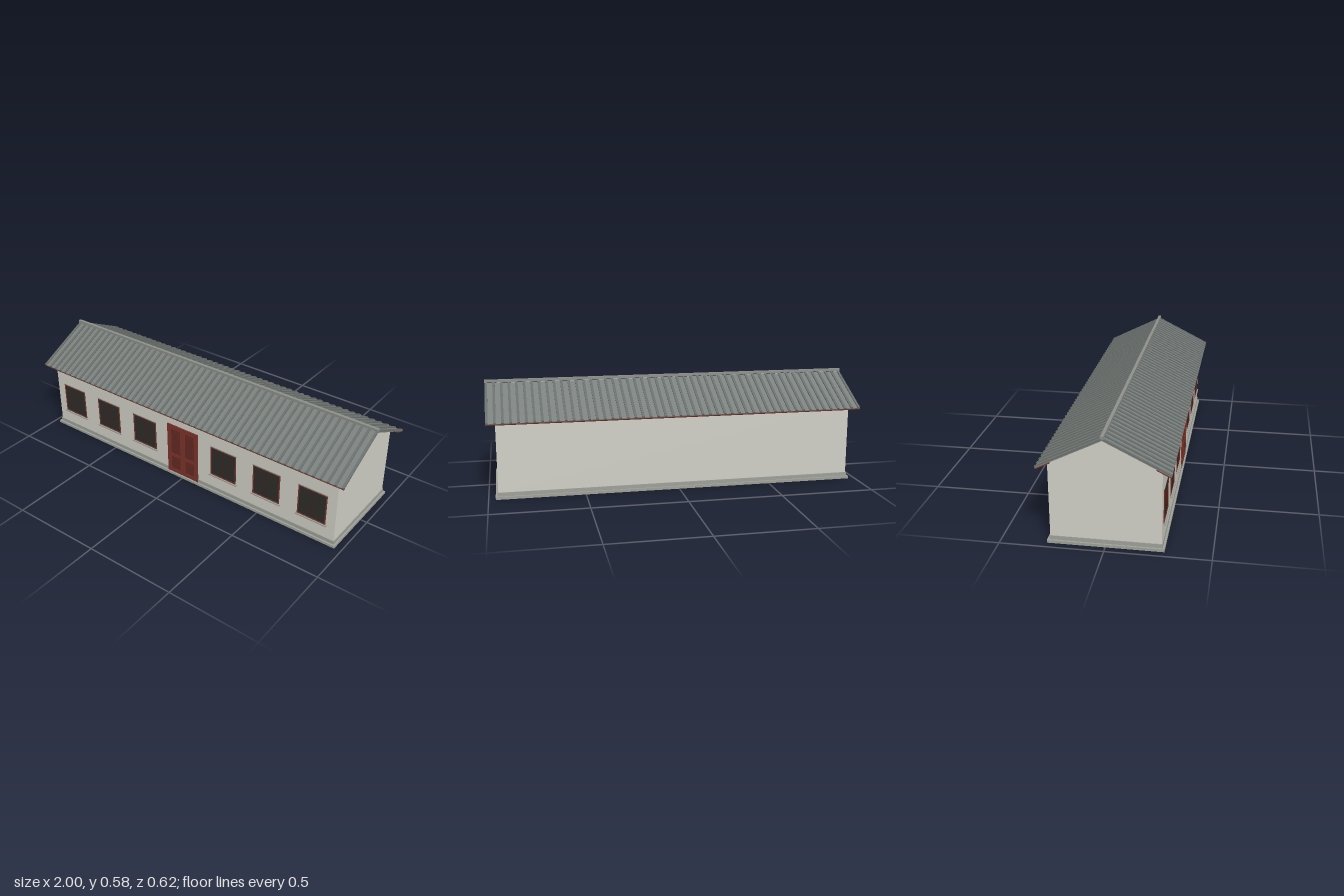
import * as THREE from 'three';

const mat = (color) => new THREE.MeshStandardMaterial({ color });
const M = {
  wall: mat(0xd0cfc6), stone: mat(0x9da098), roof: mat(0x7a807d), rib: mat(0x686e6b),
  wood: mat(0x7a3329), panel: mat(0x642a23), bars: mat(0x4a1d19), glass: mat(0x26302d),
  metal: mat(0x8c8f8a),
};

// Box given by its centre in x and its extents in y and z
function box(parent, name, material, x, w, y0, y1, z0, z1) {
  const mesh = new THREE.Mesh(new THREE.BoxGeometry(w, y1 - y0, z1 - z0), material);
  mesh.position.set(x, (y0 + y1) / 2, (z0 + z1) / 2);
  mesh.name = name;
  parent.add(mesh);
  return mesh;
}

function group(parent, name) {
  const g = new THREE.Group();
  g.name = name;
  parent.add(g);
  return g;
}

const FRONT = 0.264, RIDGE = 0.556, PITCH = Math.atan(0.5);

// Gabled body extruded along x
function addWalls(parent) {
  const eave = RIDGE - FRONT * 0.5;
  const s = new THREE.Shape([
    new THREE.Vector2(-FRONT, 0.034), new THREE.Vector2(FRONT, 0.034),
    new THREE.Vector2(FRONT, eave), new THREE.Vector2(0, RIDGE), new THREE.Vector2(-FRONT, eave),
  ]);
  const geo = new THREE.ExtrudeGeometry(s, { depth: 1.9, bevelEnabled: false });
  geo.translate(0, 0, -0.95).rotateY(Math.PI / 2);
  const mesh = new THREE.Mesh(geo, M.wall);
  mesh.name = 'walls';
  parent.add(mesh);
}

// One roof slope: ribbed sheet, eave board and rafter tails
function addSlope(parent, name, turn) {
  const side = group(parent, name);
  side.rotation.y = turn;
  const slope = group(side, 'slope');
  slope.position.y = RIDGE;
  slope.rotation.x = PITCH;
  const len = 0.344;
  box(slope, 'roofSheet', M.roof, 0, 1.994, 0, 0.005, 0, len);
  const ribs = 50;
  for (let i = 0; i <= ribs; i++) {
    const x = -0.991 + (1.982 * i) / ribs;
    box(slope, 'roofRib', M.rib, x, 0.013, 0.005, 0.01, 0, len);
  }
  box(slope, 'eaveBoard', M.wood, 0, 1.994, -0.004, 0.001, len - 0.006, len + 0.002);
  const rafters = 34;
  for (let i = 0; i < rafters; i++) {
    const x = -0.985 + (1.97 * i) / (rafters - 1);
    box(slope, 'rafterTail', M.wood, x, 0.02, -0.006, -0.001, 0.272, len);
  }
}

// Barred window with surround, sill and lintel
function addWindow(parent, x) {
  const win = group(parent, 'window');
  const w = 0.164, y0 = 0.111, y1 = 0.287, t = 0.006;
  box(win, 'glass', M.glass, x, w, y0, y1, FRONT - 0.004, FRONT + 0.001);
  for (const s of [-1, 1]) {
    box(win, 'frameSide', M.wood, x + s * (w / 2 - t / 2), t, y0, y1, FRONT, FRONT + 0.003);
  }
  box(win, 'frameBottom', M.wood, x, w, y0, y0 + t, FRONT, FRONT + 0.003);
  box(win, 'frameTop', M.wood, x, w, y1 - t, y1, FRONT, FRONT + 0.003);
  box(win, 'mullion', M.bars, x, 0.005, y0, y1, FRONT, FRONT + 0.0025);
  for (let i = 1; i < 8; i++) {
    box(win, 'verticalBar', M.bars, x - w / 2 + (w * i) / 8, 0.002, y0, y1, FRONT, FRONT + 0.002);
  }
  for (let i = 1; i < 5; i++) {
    const y = y0 + ((y1 - y0) * i) / 5;
    box(win, 'crossBar', M.bars, x, w, y - 0.0015, y + 0.0015, FRONT, FRONT + 0.002);
  }
  box(win, 'lintel', M.stone, x, w + 0.006, y1, y1 + 0.005, FRONT, FRONT + 0.003);
  box(win, 'sill', M.stone, x, 0.178, 0.104, y0, FRONT, 0.274);
}

// Double door with framed leaves and recessed panels
function addDoor(parent) {
  const door = group(parent, 'door');
  const y0 = 0.014, y1 = 0.324;
  box(door, 'doorBack', M.panel, 0, 0.19, y0, y1 - 0.005, FRONT - 0.004, 0.2665);
  for (const s of [-1, 1]) {
    box(door, 'jamb', M.wood, s * 0.0975, 0.011, y0, y1, FRONT, 0.271);
    box(door, 'outerStile', M.wood, s * 0.0855, 0.013, y0, y1 - 0.01, FRONT, 0.2695);
    box(door, 'innerStile', M.wood, s * 0.0085, 0.015, y0, y1 - 0.01, FRONT, 0.2695);
    for (const [a, b] of [[0.014, 0.036], [0.118, 0.138], [0.296, 0.314]]) {
      box(door, 'rail', M.wood, s * 0.0475, 0.063, a, b, FRONT, 0.2695);
    }
    box(door, 'lowerPanel', M.panel, s * 0.0475, 0.044, 0.05, 0.104, 0.266, 0.268);
    box(door, 'upperPanel', M.panel, s * 0.0475, 0.044, 0.153, 0.281, 0.266, 0.268);
  }
  box(door, 'head', M.wood, 0, 0.206, y1 - 0.011, y1, FRONT, 0.271);
}

export function createModel() {
  const house = new THREE.Group();
  house.name = 'longHouse';

  // Stepped base
  box(house, 'footing', M.stone, 0, 1.928, 0, 0.014, -0.278, 0.278);
  box(house, 'plinth', M.stone, 0, 1.908, 0.014, 0.034, -0.268, 0.268);
  addWalls(house);

  // Roof
  const roof = group(house, 'roof');
  addSlope(roof, 'frontSlope', 0);
  addSlope(roof, 'backSlope', Math.PI);
  box(roof, 'ridgeCap', M.metal, 0, 2, 0.564, 0.578, -0.008, 0.008);

  // Openings on the front wall
  for (const s of [-1, 1]) {
    for (let i = 1; i <= 3; i++) addWindow(house, s * 0.2715 * i);
  }
  addDoor(house);
  return house;
}
